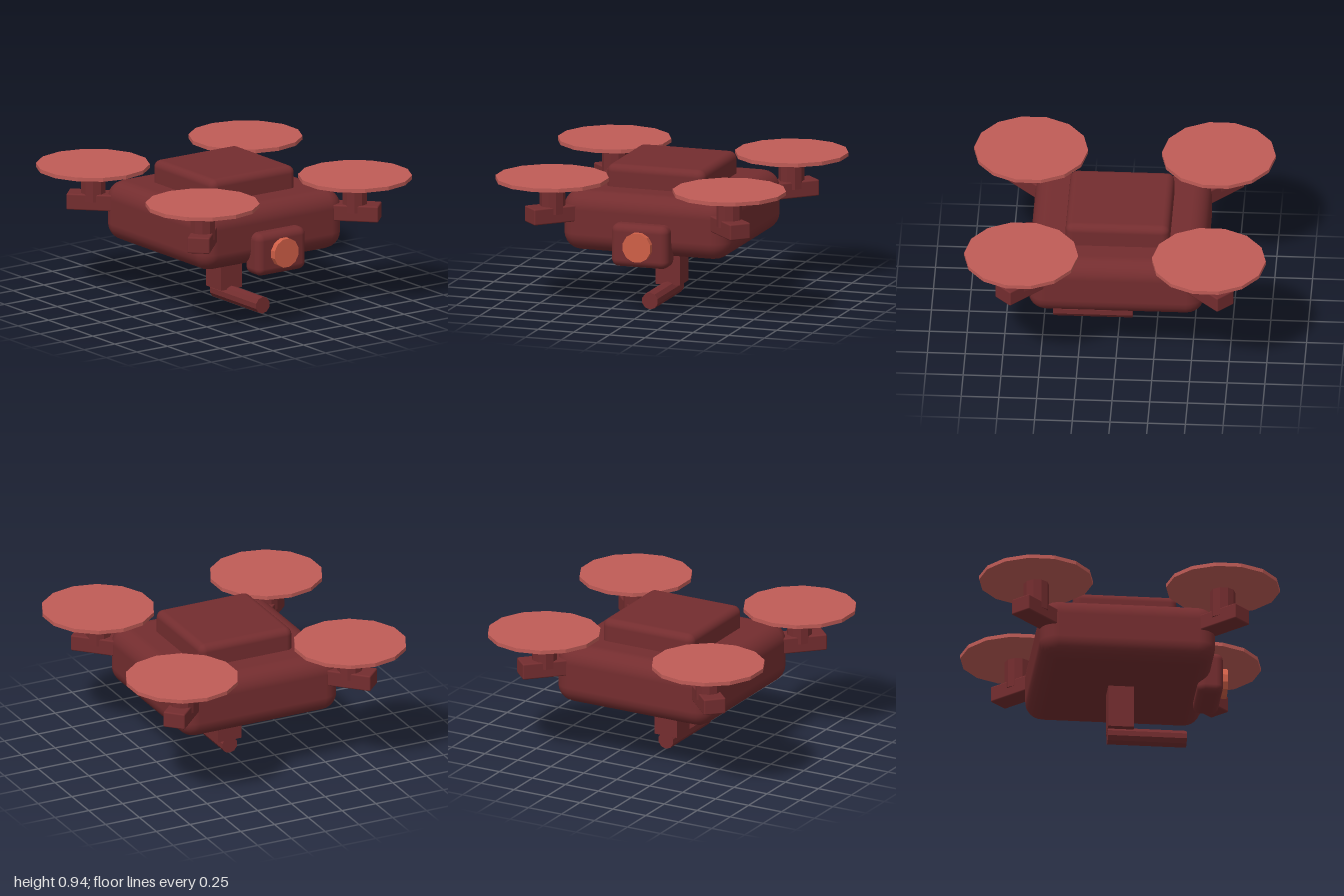
import * as THREE from 'three';
import { RoundedBoxGeometry } from 'three/addons/geometries/RoundedBoxGeometry.js';

export function createModel() {
  const shell = new THREE.MeshStandardMaterial({ color: 0x742d2f });
  shell.name = 'dark red shell';
  const rotorRed = new THREE.MeshStandardMaterial({ color: 0xc05c57 });
  rotorRed.name = 'light red rotor';
  const lensOrange = new THREE.MeshStandardMaterial({ color: 0xd05f47 });
  lensOrange.name = 'orange lens';

  const drone = new THREE.Group();
  drone.name = 'drone';

  const add = (name, geometry, material, x, y, z, parent = drone) => {
    const mesh = new THREE.Mesh(geometry, material);
    mesh.name = name;
    mesh.position.set(x, y, z);
    parent.add(mesh);
    return mesh;
  };
  // Faceted cylinder standing on y
  const prism = (radius, height, sides, turn = 0) =>
    new THREE.CylinderGeometry(radius, radius, height, sides, 1, false, turn).toNonIndexed();
  const faceted = (geometry) => {
    geometry.computeVertexNormals();
    return geometry;
  };

  // Hull and raised top cover
  add('body', new RoundedBoxGeometry(1.17, 0.405, 1.17, 3, 0.12), shell, 0, 0.5875, 0);
  add('topCover', new RoundedBoxGeometry(0.69, 0.26, 0.69, 3, 0.05), shell, 0, 0.81, 0);

  // Four diagonal arms, each with a motor and a rotor disc
  const armGeometry = new RoundedBoxGeometry(0.15, 0.11, 0.65, 2, 0.01);
  const motorGeometry = faceted(prism(0.085, 0.2, 10));
  const rotorGeometry = faceted(prism(0.378, 0.026, 14));
  for (const [sx, sz, side] of [
    [1, 1, 'frontLeft'], [-1, 1, 'frontRight'], [1, -1, 'backLeft'], [-1, -1, 'backRight'],
  ]) {
    const unit = new THREE.Group();
    unit.name = side + 'RotorUnit';
    drone.add(unit);
    const arm = add('arm', armGeometry, shell, sx * 0.51, 0.645, sz * 0.51, unit);
    arm.rotation.y = Math.atan2(sx, sz);
    add('motor', motorGeometry, shell, sx * 0.62, 0.75, sz * 0.62, unit);
    add('rotor', rotorGeometry, rotorRed, sx * 0.622, 0.882, sz * 0.622, unit);
  }

  // Front camera
  add('cameraHousing', new RoundedBoxGeometry(0.4, 0.29, 0.17, 3, 0.05), shell, 0, 0.47, 0.585);
  const lens = add('cameraLens', faceted(prism(0.1, 0.1, 12, Math.PI / 12)), lensOrange, 0, 0.473, 0.66);
  lens.rotation.x = Math.PI / 2;

  // Hanging post with a forward-pointing barrel
  add('post', new THREE.BoxGeometry(0.172, 0.36, 0.172), shell, 0, 0.272, 0);
  const barrel = add('barrel', faceted(prism(0.057, 0.525, 10)), shell, 0, 0.057, 0.1775);
  barrel.rotation.x = Math.PI / 2;

  return drone;
}
